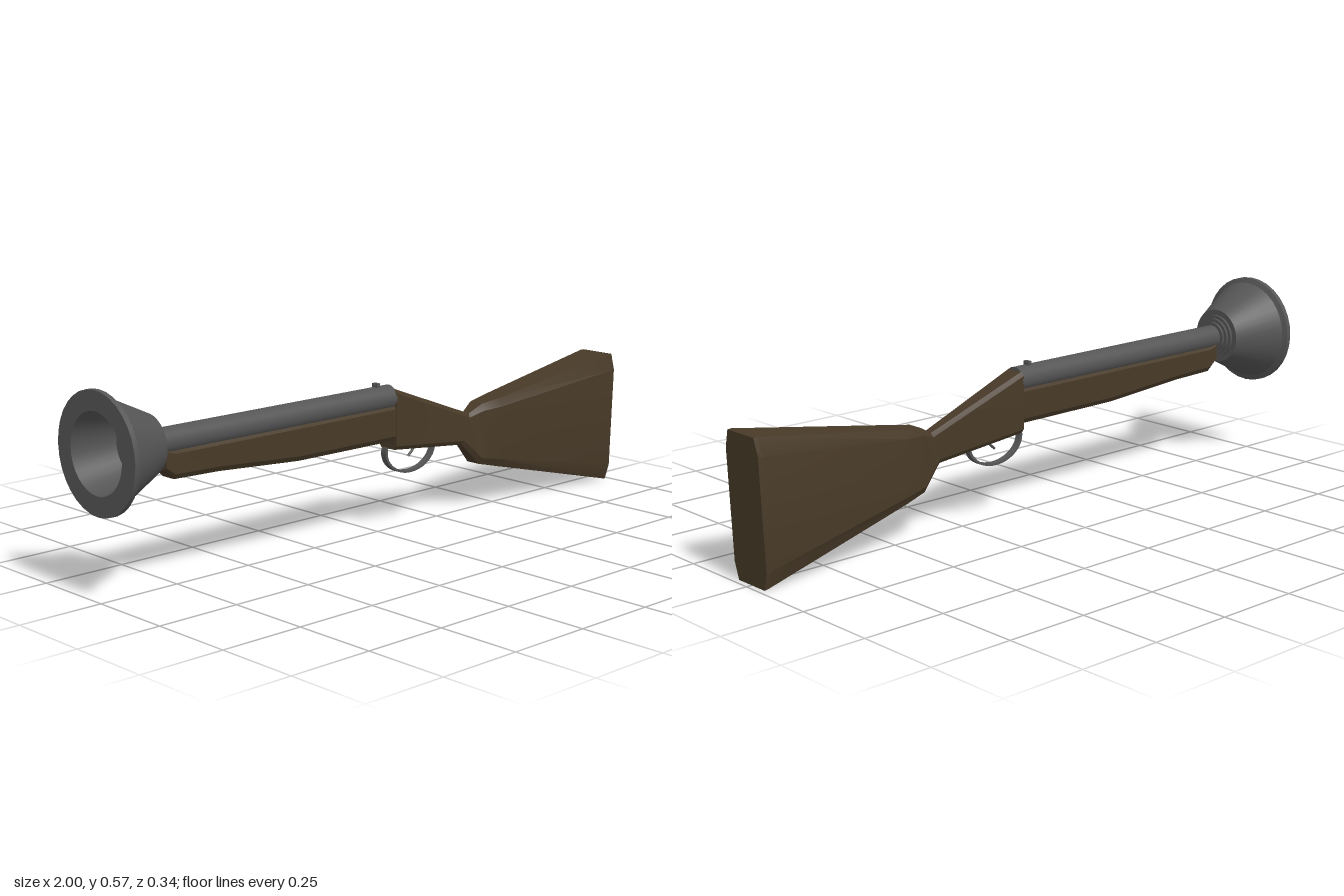
import * as THREE from 'three';
import { toCreasedNormals } from 'three/addons/utils/BufferGeometryUtils.js';

const AXIS_Y = 0.402;

// Loft of chamfered rectangular sections along x.
// Section: [xTop, xBottom, yTop, yBottom, halfWidth, chamferZ, chamferY]
function loft(sections) {
  const pos = [], idx = [], n = 8;
  for (const [xt, xb, yt, yb, w, cz, cy] of sections) {
    const ring = [[-w, yb + cy], [-w, yt - cy], [-w + cz, yt], [w - cz, yt],
      [w, yt - cy], [w, yb + cy], [w - cz, yb], [-w + cz, yb]];
    for (const [z, y] of ring) pos.push(xb + (xt - xb) * (y - yb) / (yt - yb), y, z);
  }
  const last = (sections.length - 1) * n;
  for (let i = 0; i < last; i += n) {
    for (let j = 0; j < n; j++) {
      const a = i + j, b = i + (j + 1) % n;
      idx.push(a, b, b + n, a, b + n, a + n);
    }
  }
  for (let j = 1; j < n - 1; j++) idx.push(0, j + 1, j, last, last + j, last + j + 1);
  const g = new THREE.BufferGeometry();
  g.setAttribute('position', new THREE.Float32BufferAttribute(pos, 3));
  g.setIndex(idx);
  return toCreasedNormals(g, 0.35);
}

export function createModel() {
  const model = new THREE.Group();
  model.name = 'flaredGun';
  const metal = new THREE.MeshStandardMaterial({ color: 0x555555 });
  const wood = new THREE.MeshStandardMaterial({ color: 0x483a28 });
  const add = (name, geometry, material, x = 0, y = 0, z = 0) => {
    const mesh = new THREE.Mesh(geometry, material);
    mesh.name = name;
    mesh.position.set(x, y, z);
    model.add(mesh);
    return mesh;
  };

  // Flared muzzle: collar rings, cone, rim and hollow bore (radius, distance along -x)
  const profile = [[0, 0.81], [0.047, 0.81], [0.047, 0.818], [0.057, 0.818], [0.057, 0.826],
    [0.067, 0.826], [0.067, 0.834], [0.084, 0.834], [0.153, 0.978], [0.168, 0.985], [0.168, 1],
    [0.112, 1], [0.09, 0.87], [0, 0.87]].map(([r, d]) => new THREE.Vector2(r, d));
  const bell = add('muzzleBell', toCreasedNormals(new THREE.LatheGeometry(profile, 32), 0.4),
    metal, 0, AXIS_Y);
  bell.rotation.z = Math.PI / 2;

  // Barrel
  const barrel = add('barrel', new THREE.CylinderGeometry(0.037, 0.037, 0.87, 32), metal, -0.39, AXIS_Y);
  barrel.rotation.z = Math.PI / 2;

  // Wooden fore-end under the barrel
  add('foreEnd', loft([
    [-0.8, -0.8, 0.385, 0.33, 0.033, 0.006, 0.006],
    [-0.77, -0.77, 0.385, 0.3, 0.034, 0.01, 0.015],
    [-0.62, -0.62, 0.385, 0.296, 0.034, 0.01, 0.015],
    [-0.33, -0.33, 0.385, 0.276, 0.034, 0.01, 0.015],
    [0.045, 0.045, 0.385, 0.274, 0.034, 0.01, 0.015],
  ]), wood);

  // Wrist narrowing to the grip, then widening to the butt
  add('stock', loft([
    [0.042, 0.042, 0.43, 0.247, 0.036, 0.009, 0.012],
    [0.375, 0.345, 0.305, 0.212, 0.02, 0.007, 0.012],
    [0.42, 0.41, 0.33, 0.142, 0.036, 0.012, 0.02],
    [0.49, 0.48, 0.34, 0.125, 0.047, 0.013, 0.025],
    [0.987, 0.972, 0.417, 0.004, 0.075, 0.015, 0.05],
    [1, 0.983, 0.417, 0.001, 0.072, 0.014, 0.05],
  ]), wood);

  // Trigger guard: flat curved band
  const guard = new THREE.Shape();
  guard.absellipse(0.128, 0.235, 0.104, 0.073, Math.PI - 0.25, Math.PI * 2 + 0.05, false);
  guard.absellipse(0.128, 0.235, 0.096, 0.066, Math.PI * 2 + 0.05, Math.PI - 0.25, true);
  add('triggerGuard', toCreasedNormals(new THREE.ExtrudeGeometry(guard,
    { depth: 0.02, bevelEnabled: false, curveSegments: 20 }), 0.6), metal, 0, 0, -0.01);

  // Trigger
  const pull = new THREE.CatmullRomCurve3([[0.158, 0.25], [0.145, 0.228], [0.125, 0.21]]
    .map(([x, y]) => new THREE.Vector3(x, y, 0)));
  add('trigger', new THREE.TubeGeometry(pull, 8, 0.004, 8), metal);

  // Notched rear sight
  add('sightBase', new THREE.BoxGeometry(0.012, 0.008, 0.02), metal, -0.006, 0.44, 0);
  for (const s of [-1, 1]) {
    add('sightPost', new THREE.BoxGeometry(0.012, 0.008, 0.007), metal, -0.006, 0.446, s * 0.0065);
  }
  return model;
}
